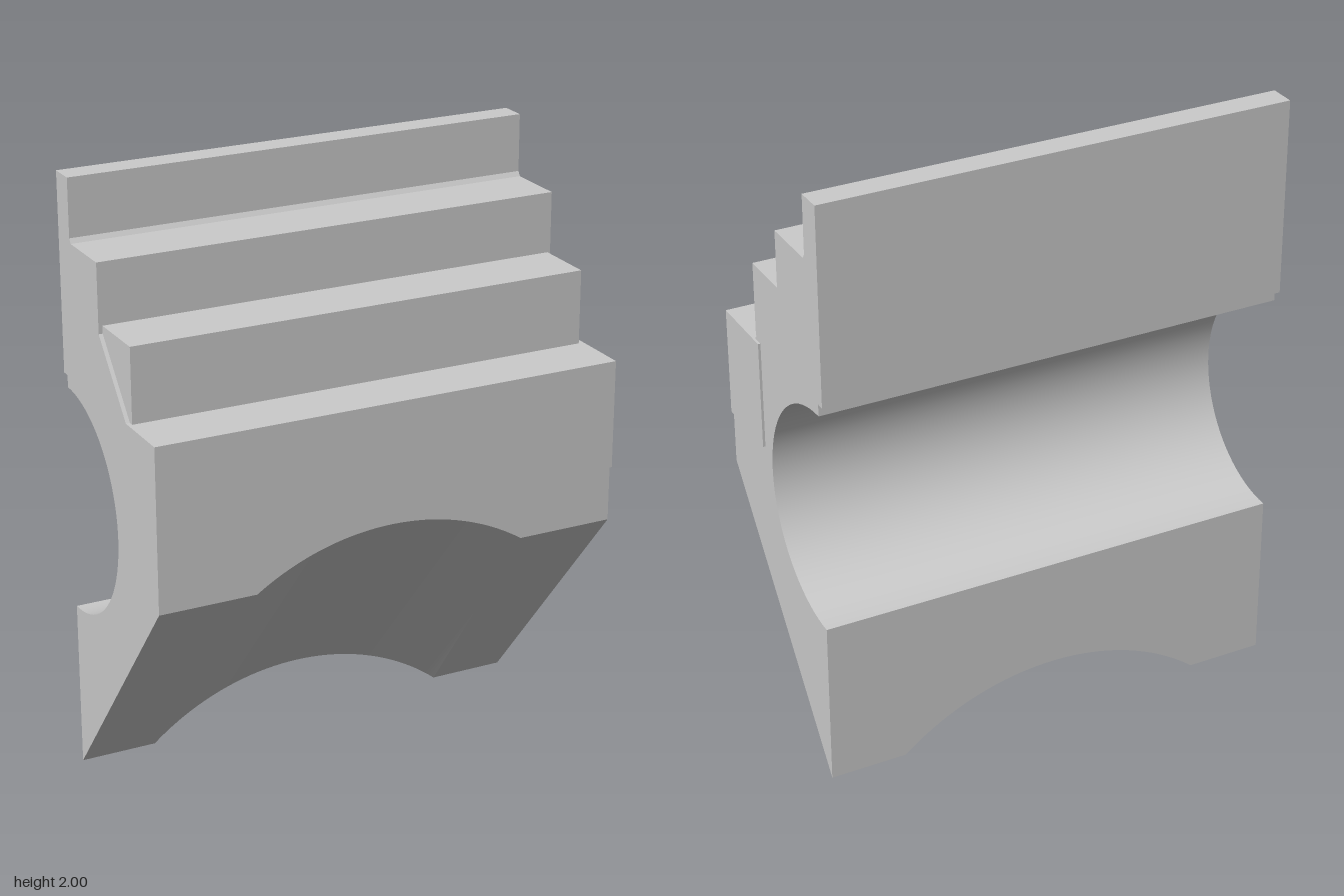
import * as THREE from 'three';
import { toCreasedNormals } from 'three/addons/utils/BufferGeometryUtils.js';

const HALF = 0.785, R = 0.83;
const BACK = -0.32, FRONT = 0.35, DEPTH = FRONT - BACK;

// Height of the underside hollow at the back plane, and how it climbs to the front
const hollow = u => Math.sqrt(Math.max(0, R * R - u * u)) - 0.64;
const HOLLOW_RISE = 0.76, SLOPE_RISE = 0.81;

// Closed outline [z, y] of the body at distance u from its middle
function section(u) {
  const h = hollow(u);
  const t = THREE.MathUtils.clamp(h / (SLOPE_RISE - HOLLOW_RISE), 0, 1);
  const y = s => Math.max(SLOPE_RISE * s, h + HOLLOW_RISE * s);
  const pts = [
    [BACK, y(0)], [BACK + DEPTH * t, y(t)], [FRONT, y(1)],
    [FRONT, 1.35], [0.14, 1.35], [-0.05, 1.57], [-0.05, 1.795], [-0.25, 1.795],
    [-0.26, 1.81], [-0.26, 2], [-0.347, 2], [-0.347, 1.35], [BACK, 1.35],
  ];
  // half-round channel along the back
  for (let i = 0; i <= 40; i++) {
    const a = Math.PI * i / 40;
    pts.push([BACK + 0.37 * Math.sin(a), 0.935 + 0.375 * Math.cos(a)]);
  }
  return pts;
}

function bodyGeometry() {
  // columns across the width, with exact stations where the hollow meets the slope
  const wideBack = Math.sqrt(R * R - 0.64 ** 2), wideFront = Math.sqrt(R * R - 0.69 ** 2);
  const us = [-HALF, HALF];
  for (let i = 0; i <= 32; i++) us.push(wideFront * (i / 16 - 1));
  for (let i = 1; i <= 4; i++) {
    const u = wideFront + (wideBack - wideFront) * i / 4;
    us.push(u, -u);
  }
  us.sort((a, b) => a - b);

  const pos = [], idx = [];
  const n = section(0).length;
  for (const u of us) for (const [z, y] of section(u)) pos.push(u, y, z);
  for (let c = 0; c < us.length - 1; c++) {
    for (let i = 0; i < n; i++) {
      const j = (i + 1) % n, a = c * n, b = a + n;
      idx.push(a + i, b + i, a + j, b + i, b + j, a + j);
    }
  }
  // end caps; the doubled corner at the foot is left out
  const keep = [...Array(n).keys()].filter(i => i !== 1);
  const end = section(HALF);
  const tris = THREE.ShapeUtils.triangulateShape(keep.map(i => new THREE.Vector2(...end[i])), []);
  const last = (us.length - 1) * n;
  for (const t of tris) {
    const [a, b, c] = t.map(k => keep[k]);
    idx.push(a, b, c, last + a, last + c, last + b);
  }
  const g = new THREE.BufferGeometry();
  g.setAttribute('position', new THREE.Float32BufferAttribute(pos, 3));
  g.setIndex(idx);
  return toCreasedNormals(g, 0.35);
}

export function createModel() {
  const group = new THREE.Group();
  const material = new THREE.MeshStandardMaterial({ color: 0xcccccc });
  const add = (name, geometry) => {
    const mesh = new THREE.Mesh(geometry, material);
    mesh.name = name;
    group.add(mesh);
    return mesh;
  };
  // box given by its low and high corners
  const box = (name, lo, hi) => {
    const size = hi.map((v, i) => v - lo[i]);
    add(name, new THREE.BoxGeometry(...size)).position.set(...lo.map((v, i) => v + size[i] / 2));
  };

  add('steppedBody', bodyGeometry()).position.x = -0.005;
  // lower step sitting on the bevel, a little shorter than the body
  box('lowerStep', [-0.777, 1.3, -0.08], [0.77, 1.595, 0.157]);
  // thin raised pad on the left end
  box('endPad', [0.76, 0.99, 0.1], [0.788, 1.35, 0.35]);
  return group;
}
